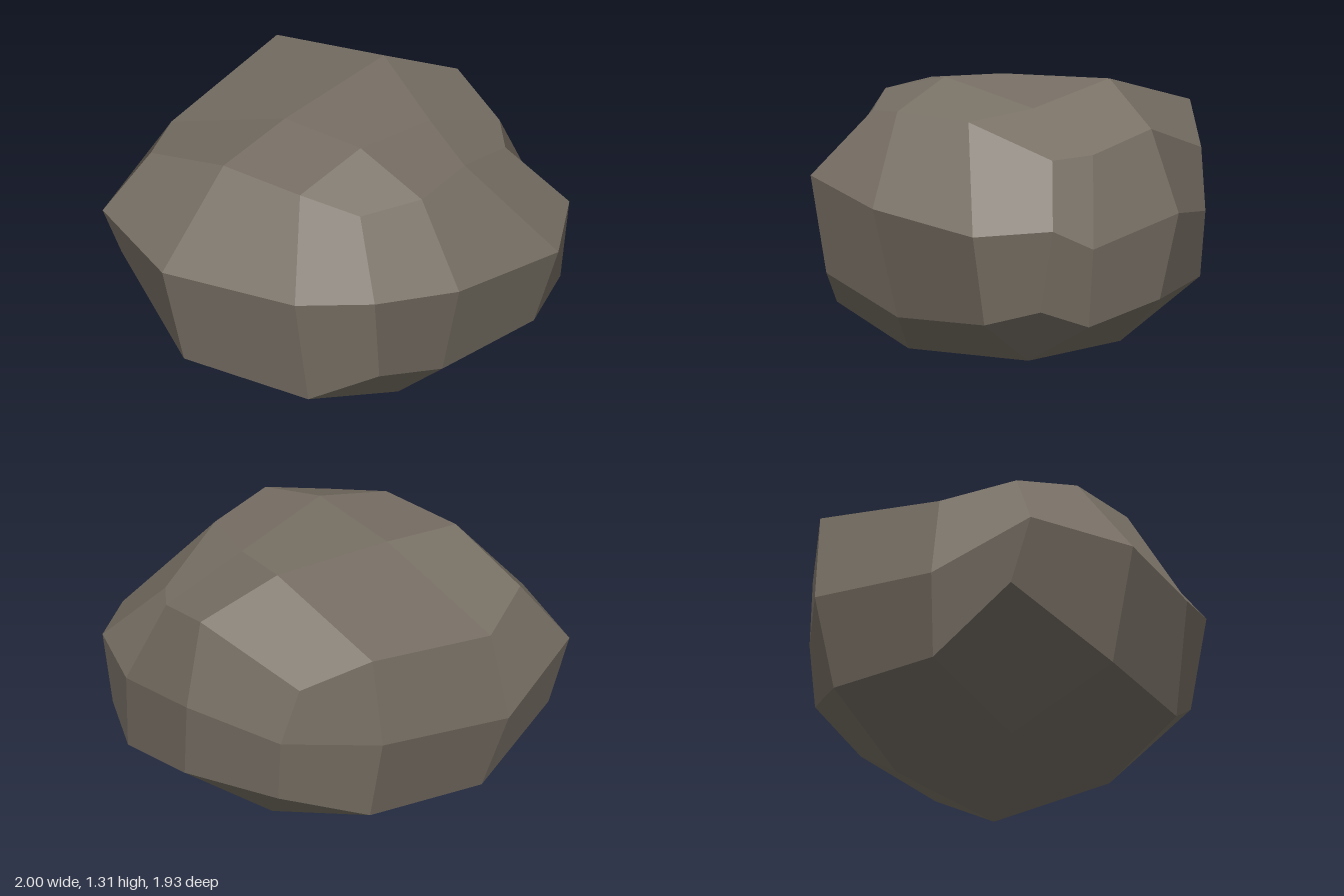
import * as THREE from 'three';

// Cross-section rings of the boulder: 12 points each, from the front -x corner
// round the front, the +x side, the back and the -x side.
const lowerRing = [
  [-0.53, 0.365, 0.75], [-0.09, 0.19, 0.76], [0.49, 0.215, 0.83], [0.77, 0.295, 0.745],
  [0.88, 0.2, 0.5], [0.94, 0.28, 0], [0.79, 0.31, -0.53],
  [0.44, 0.21, -0.81], [-0.23, 0.16, -0.86], [-0.69, 0.44, -0.82],
  [-0.86, 0.165, -0.245], [-0.7, 0.165, 0.435],
];
const middleRing = [
  [-0.6, 0.845, 0.785], [-0.13, 0.74, 0.91], [0.52, 0.67, 0.965], [0.84, 0.7, 0.74],
  [0.9, 0.585, 0.49], [0.995, 0.7, -0.08], [0.8, 0.63, -0.56],
  [0.46, 0.66, -0.93], [-0.31, 0.55, -0.97], [-0.82, 0.75, -0.825],
  [-1, 0.74, -0.26], [-0.78, 0.755, 0.42],
];
const upperRing = [
  [-0.42, 1.15, 0.52], [-0.15, 1.19, 0.68], [0.23, 1.165, 0.61], [0.65, 1.0, 0.49],
  [0.78, 1.02, 0.33], [0.865, 1.11, -0.03], [0.73, 0.93, -0.62],
  [0.475, 1.11, -0.87], [-0.28, 0.98, -0.87], [-0.62, 1.055, -0.69],
  [-0.61, 1.2, -0.215], [-0.55, 1.21, 0.24],
];
// Inner points of the caps: front -x, front +x, back -x, back +x
const topInner = [[-0.16, 1.31, 0.28], [0.36, 1.2, 0.255], [-0.175, 1.26, -0.21], [0.5, 1.305, -0.18]];
const bottomInner = [[-0.18, 0, 0.55], [0.55, 0.01, 0.55], [-0.18, 0, -0.2], [0.55, 0.01, -0.2]];

// Quads between two rings
function bandQuads(low, high) {
  return low.map((p, i) => {
    const j = (i + 1) % low.length;
    return [p, low[j], high[j], high[i]];
  });
}

// 3 x 3 quads closing a ring
function capQuads(r, n, down) {
  const grid = [
    [r[0], r[1], r[2], r[3]],
    [r[11], n[0], n[1], r[4]],
    [r[10], n[2], n[3], r[5]],
    [r[9], r[8], r[7], r[6]],
  ];
  const quads = [];
  for (let i = 0; i < 3; i++) {
    for (let j = 0; j < 3; j++) {
      const q = [grid[i][j], grid[i][j + 1], grid[i + 1][j + 1], grid[i + 1][j]];
      quads.push(down ? q.reverse() : q);
    }
  }
  return quads;
}

// Each quad becomes one evenly shaded facet, split on its shorter diagonal
function facetGeometry(quads) {
  const positions = [], normals = [];
  for (const quad of quads) {
    const [a, b, c, d] = quad.map((p) => new THREE.Vector3(...p));
    const ac = c.clone().sub(a), bd = d.clone().sub(b);
    const normal = ac.clone().cross(bd).normalize();
    const corners = ac.length() <= bd.length() ? [a, b, c, a, c, d] : [a, b, d, b, c, d];
    for (const v of corners) {
      positions.push(v.x, v.y, v.z);
      normals.push(normal.x, normal.y, normal.z);
    }
  }
  const geometry = new THREE.BufferGeometry();
  geometry.setAttribute('position', new THREE.Float32BufferAttribute(positions, 3));
  geometry.setAttribute('normal', new THREE.Float32BufferAttribute(normals, 3));
  return geometry;
}

export function createModel() {
  const group = new THREE.Group();
  group.name = 'boulder';
  const stone = new THREE.MeshStandardMaterial({ color: 0x787065 });
  stone.name = 'stone';

  const rock = new THREE.Mesh(facetGeometry([
    ...capQuads(lowerRing, bottomInner, true),
    ...bandQuads(lowerRing, middleRing),
    ...bandQuads(middleRing, upperRing),
    ...capQuads(upperRing, topInner, false),
  ]), stone);
  rock.name = 'rock';
  group.add(rock);
  return group;
}
